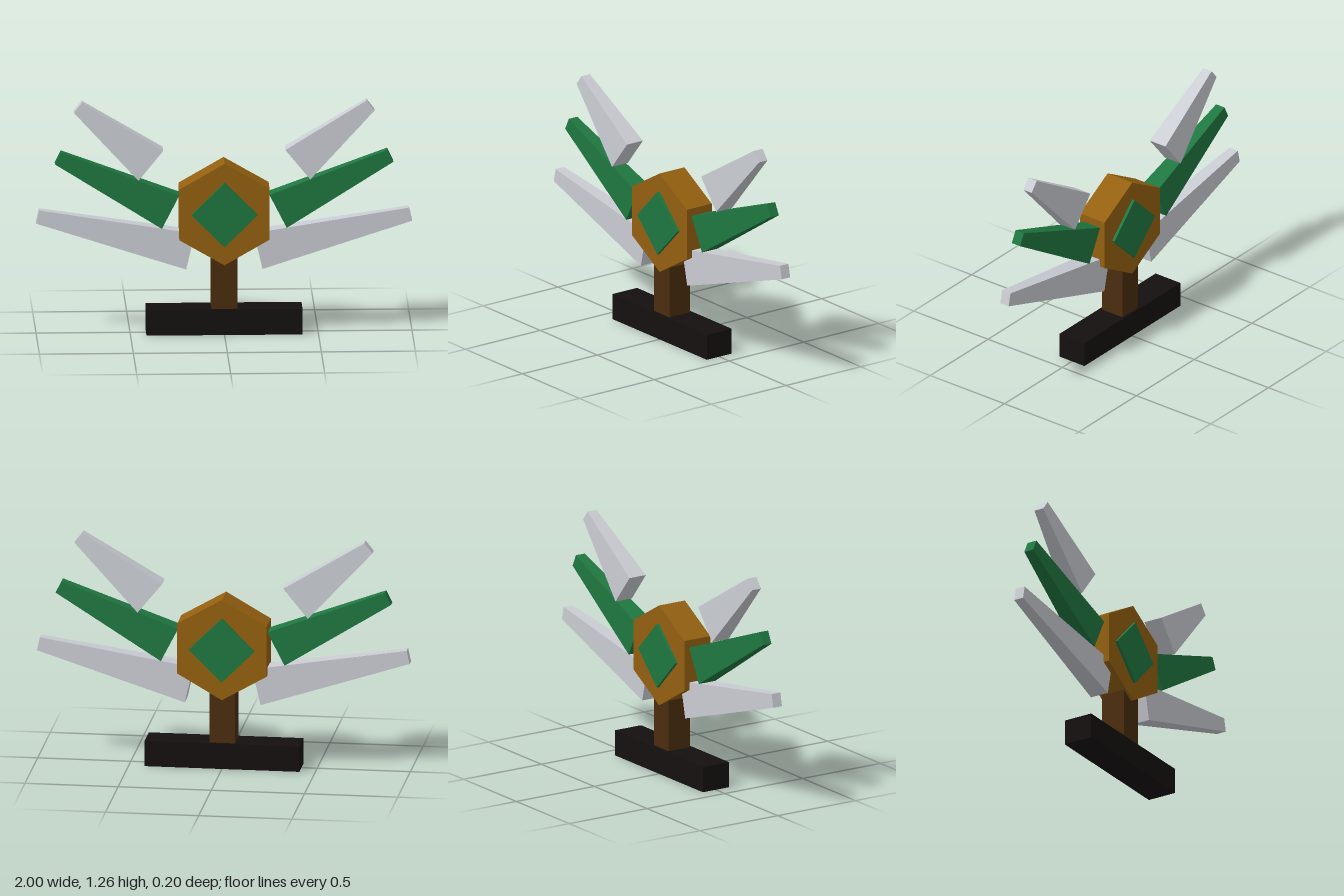
import * as THREE from 'three';

const HUB_Y = 0.657;

function paint(color) {
  return new THREE.MeshStandardMaterial({ color, flatShading: true });
}

function addMesh(parent, name, geometry, material) {
  const mesh = new THREE.Mesh(geometry, material);
  mesh.name = name;
  parent.add(mesh);
  return mesh;
}

// Prism with its axis along z and one corner pointing up
function prism(sides, radius, depth) {
  return new THREE.CylinderGeometry(radius, radius, depth, sides)
    .rotateX(-Math.PI / 2)
    .translate(0, HUB_Y, 0);
}

// Tapered bar: box whose ends are moved onto the given base and tip edges
function blade({ base, tip }, side) {
  const geometry = new THREE.BoxGeometry(1, 1, 1);
  const p = geometry.attributes.position;
  for (let i = 0; i < p.count; i++) {
    const outer = p.getX(i) * side > 0;
    const [x, y] = (outer ? tip : base)[p.getY(i) > 0 ? 0 : 1];
    p.setXYZ(i, x * side, y, Math.sign(p.getZ(i)) * (outer ? 0.028 : 0.053));
  }
  geometry.computeVertexNormals();
  return geometry;
}

export function createModel() {
  const model = new THREE.Group();
  model.name = 'wingedStand';

  const black = paint(0x151010);
  const darkBrown = paint(0x4a2d0e);
  const amber = paint(0x946010);
  const green = paint(0x1f7740);
  const silver = paint(0xc9ccd2);

  // Foot and post
  addMesh(model, 'foot', new THREE.BoxGeometry(0.83, 0.14, 0.166), black).position.y = 0.07;
  addMesh(model, 'post', new THREE.BoxGeometry(0.138, 0.36, 0.138), darkBrown).position.y = 0.32;

  // Hexagonal hub with a diamond gem showing on both faces
  addMesh(model, 'hub', prism(6, 0.277, 0.166), amber);
  addMesh(model, 'gem', prism(4, 0.176, 0.198), green);

  // Three blades per wing; edges are [upper corner, lower corner]
  const blades = [
    { name: 'upperBlade', material: silver, base: [[0.325, 1.0], [0.457, 0.838]], tip: [[0.757, 1.26], [0.8, 1.206]] },
    { name: 'middleBlade', material: green, base: [[0.24, 0.755], [0.332, 0.575]], tip: [[0.868, 0.99], [0.9, 0.925]] },
    { name: 'lowerBlade', material: silver, base: [[0.158, 0.548], [0.203, 0.352]], tip: [[0.984, 0.675], [1.0, 0.603]] },
  ];
  for (const side of [1, -1]) {
    const wing = new THREE.Group();
    wing.name = side > 0 ? 'leftWing' : 'rightWing';
    for (const b of blades) addMesh(wing, b.name, blade(b, side), b.material);
    model.add(wing);
  }
  return model;
}
